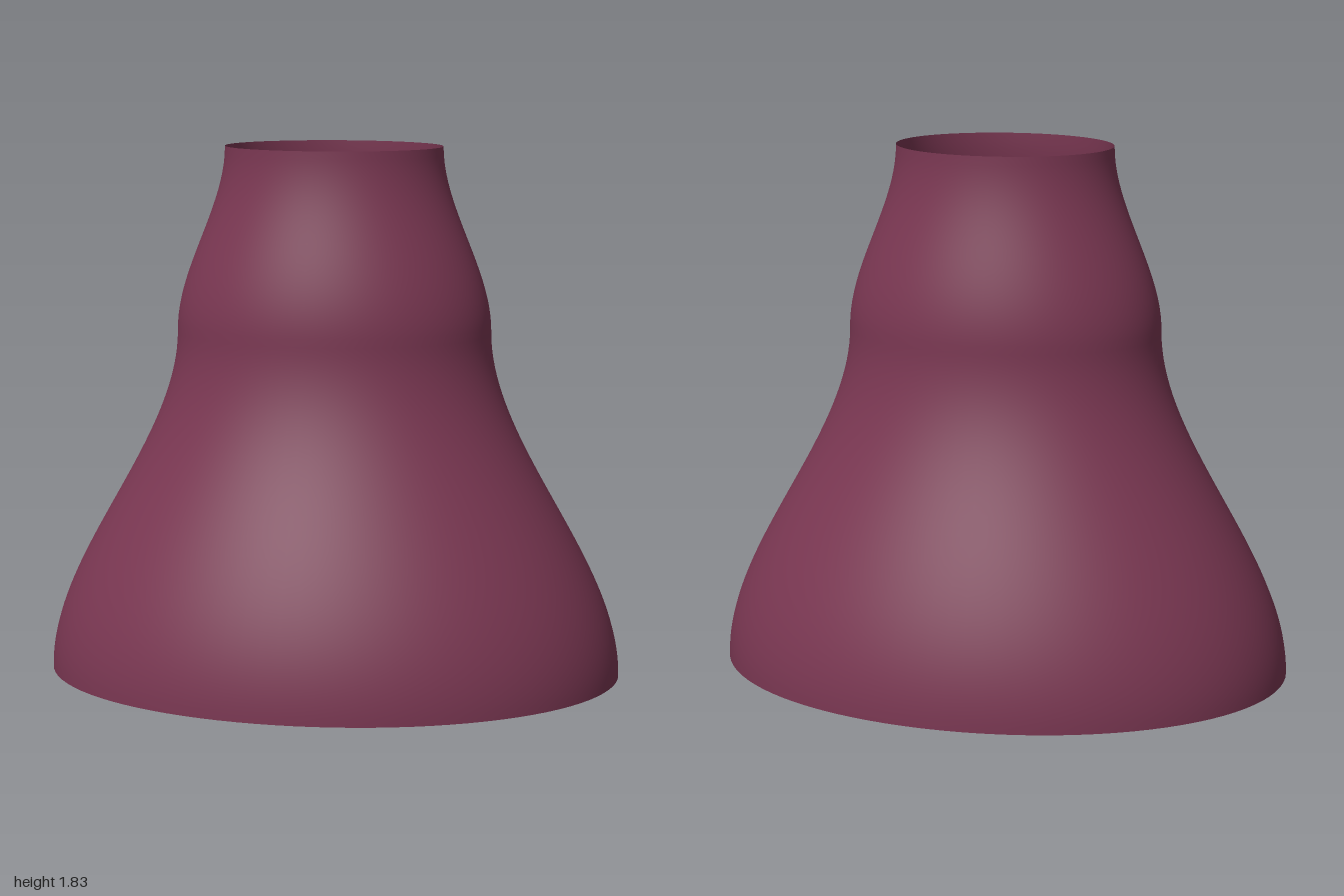
import * as THREE from 'three';
import { mergeVertices } from 'three/addons/utils/BufferGeometryUtils.js';

// Elliptical sections: height, half width in x, half depth in z
const SECTIONS = [
  [0, 1.0, 0.777],
  [1.2, 0.545, 0.425],
  [1.833, 0.376, 0.309],
];
const HEIGHT = 1.833;

// Half axes at height y, eased so the wall is vertical at every section
function radiiAt(y) {
  const i = y < SECTIONS[1][0] ? 0 : 1;
  const [y0, x0, z0] = SECTIONS[i];
  const [y1, x1, z1] = SECTIONS[i + 1];
  const t = THREE.MathUtils.smoothstep(y, y0, y1);
  return [THREE.MathUtils.lerp(x0, x1, t), THREE.MathUtils.lerp(z0, z1, t)];
}

export function createModel() {
  const group = new THREE.Group();
  group.name = 'flaredSleeve';

  const plum = new THREE.MeshStandardMaterial({ color: 0x7a3752, side: THREE.DoubleSide });
  plum.name = 'plum';

  // Open tube, reshaped ring by ring into the flared wall
  const tube = new THREE.CylinderGeometry(1, 1, HEIGHT, 96, 60, true);
  tube.translate(0, HEIGHT / 2, 0);
  const pos = tube.attributes.position;
  for (let i = 0; i < pos.count; i++) {
    const [rx, rz] = radiiAt(pos.getY(i));
    pos.setX(i, pos.getX(i) * rx);
    pos.setZ(i, pos.getZ(i) * rz);
  }

  // Weld the seam so the shading is smooth all round
  tube.deleteAttribute('uv');
  tube.deleteAttribute('normal');
  const geometry = mergeVertices(tube);
  geometry.computeVertexNormals();

  const wall = new THREE.Mesh(geometry, plum);
  wall.name = 'flaredWall';
  group.add(wall);
  return group;
}
